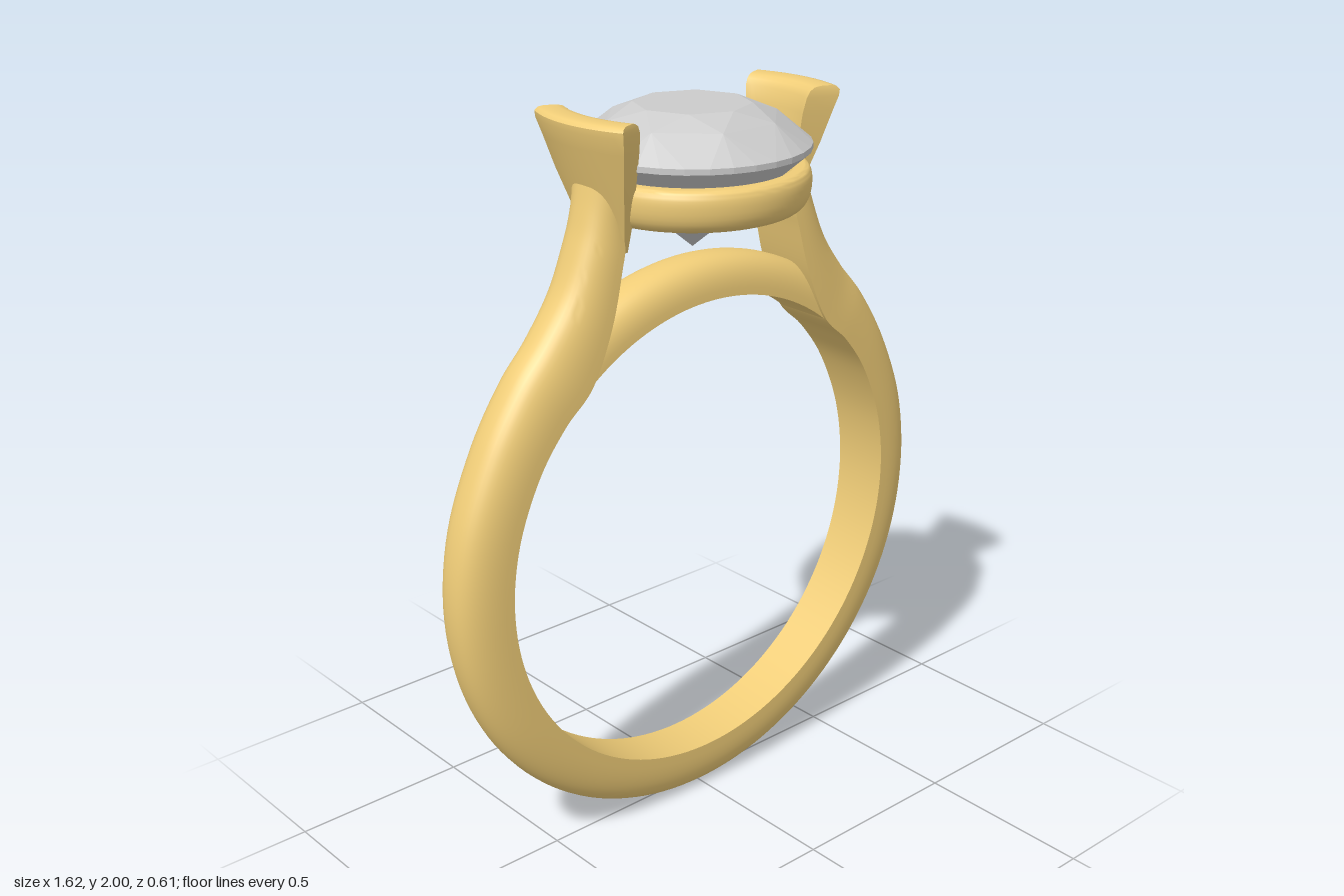
import * as THREE from 'three';
import { toCreasedNormals } from 'three/addons/utils/BufferGeometryUtils.js';
import { ConvexGeometry } from 'three/addons/geometries/ConvexGeometry.js';

const CY = 0.815;      // centre height of the finger hole
const R_IN = 0.668;    // finger hole radius
const R_OUT = 0.81;    // outer band radius
const rad = THREE.MathUtils.degToRad;
const polar = (r, deg) => new THREE.Vector3(r * Math.cos(rad(deg)), CY + r * Math.sin(rad(deg)), 0);

// Skin a list of closed cross-sections, each a loop of the same number of points
function loft(rings, crease = 0.7) {
  const n = rings[0].length;
  const index = [];
  for (let i = 0; i < rings.length - 1; i++) {
    for (let j = 0; j < n; j++) {
      const k = (j + 1) % n;
      const a = i * n + j, b = i * n + k, c = b + n, d = a + n;
      index.push(a, d, c, a, c, b);
    }
  }
  const geo = new THREE.BufferGeometry().setFromPoints(rings.flat());
  geo.setIndex(index);
  return toCreasedNormals(geo, crease);
}

// D-shaped section: flat towards the finger, domed outside
function dSection(inner, outer, w) {
  const pts = [];
  for (let j = 0; j <= 24; j++) {
    const t = Math.PI * (1 - j / 24);
    const c = Math.cos(t);
    const p = inner.clone().lerp(outer, Math.pow(Math.max(Math.sin(t), 0), 0.8));
    p.z = w * Math.sign(c) * Math.pow(Math.abs(c), 0.8);
    pts.push(p);
  }
  return pts;
}

// Band: circular below, leaving the circle to sweep up into the shoulders
function shankGeometry() {
  const half = [];
  for (let a = -90; a <= 15; a += 15) half.push([polar(R_IN, a), polar(R_OUT, a)]);
  const shoulder = [
    [0.579, 1.149, 0.70, 1.225], [0.496, 1.262, 0.605, 1.375], [0.41, 1.343, 0.522, 1.47],
    [0.345, 1.48, 0.445, 1.575], [0.305, 1.62, 0.395, 1.69], [0.292, 1.69, 0.37, 1.77],
    [0.315, 1.79, 0.348, 1.86],
  ];
  for (const [a, b, c, d] of shoulder) half.push([new THREE.Vector3(a, b, 0), new THREE.Vector3(c, d, 0)]);
  const flip = (p) => new THREE.Vector3(-p.x, p.y, 0);
  const all = [...half.slice(1).reverse().map((s) => s.map(flip)), ...half];
  const inner = new THREE.CatmullRomCurve3(all.map((s) => s[0]), false, 'catmullrom');
  const outer = new THREE.CatmullRomCurve3(all.map((s) => s[1]), false, 'catmullrom');
  const rings = [];
  for (let i = 0; i <= 168; i++) {
    const p = inner.getPoint(i / 168), q = outer.getPoint(i / 168);
    const w = 0.072 + 0.019 * Math.min(q.y / 1.4, 1) - 0.012 * THREE.MathUtils.smoothstep(q.y, 1.5, 1.86);
    rings.push(dSection(p, q, w));
  }
  return loft(rings);
}

// Bridge: thin arc closing the finger hole between the shoulders
function bridgeGeometry() {
  const rings = [];
  for (let a = 52; a <= 128; a += 2) rings.push(dSection(polar(R_IN, a), polar(0.773, a), 0.083));
  return loft(rings);
}

// Prong: curved claw that widens and leans outward, with a rounded top
function prongGeometry(spread) {
  const levels = [ // y, inner radius, outer radius, share of the spread
    [1.66, 0.28, 0.295, 0.55], [1.75, 0.283, 0.325, 0.72], [1.85, 0.298, 0.362, 0.87],
    [1.93, 0.304, 0.388, 0.96], [1.972, 0.313, 0.403, 1], [1.988, 0.322, 0.405, 1],
    [1.997, 0.335, 0.397, 0.99], [2.0, 0.352, 0.383, 0.985], [2.0, 0.368, 0.368, 0.98],
  ];
  const N = 14;
  return loft(levels.map(([y, ri, ro, s]) => {
    const arc = (r, dir) => Array.from({ length: N + 1 }, (_, j) => {
      const a = dir * rad(spread * s) * (2 * j / N - 1);
      return new THREE.Vector3(r * Math.cos(a), y, r * Math.sin(a));
    });
    return [...arc(ro, 1), ...arc(ri, -1)];
  }));
}

// Seat: rounded collar under the stone
function seatGeometry() {
  const s = new THREE.Shape();
  s.moveTo(0.205, 1.735);
  s.quadraticCurveTo(0.205, 1.718, 0.225, 1.718);
  s.lineTo(0.255, 1.718);
  s.quadraticCurveTo(0.305, 1.72, 0.306, 1.79);
  s.quadraticCurveTo(0.306, 1.828, 0.285, 1.83);
  s.lineTo(0.262, 1.83);
  s.lineTo(0.205, 1.765);
  s.lineTo(0.205, 1.735);
  return toCreasedNormals(new THREE.LatheGeometry(s.getPoints(8), 72), 0.6);
}

// Stone: round cut with an octagonal table, kite facets, girdle and pointed pavilion
function stoneGeometry() {
  const pts = [new THREE.Vector3(0, 1.61, 0)];
  const ring = (n, r, y, off) => {
    for (let i = 0; i < n; i++) {
      const a = (i + off) / n * Math.PI * 2;
      pts.push(new THREE.Vector3(r * Math.cos(a), y, r * Math.sin(a)));
    }
  };
  ring(8, 0.152, 1.985, 0);
  ring(8, 0.228, 1.952, 0.5);
  ring(32, 0.306, 1.887, 0);
  ring(32, 0.306, 1.872, 0);
  ring(8, 0.115, 1.707, 0.5);
  return new ConvexGeometry(pts);
}

export function createModel() {
  const model = new THREE.Group();
  model.name = 'ring';
  const gold = new THREE.MeshStandardMaterial({ color: 0xf0cd78 });
  const goldOpen = new THREE.MeshStandardMaterial({ color: 0xf0cd78, side: THREE.DoubleSide });
  const grey = new THREE.MeshStandardMaterial({ color: 0xcccccc, flatShading: true });
  const add = (name, geo, mat) => {
    const mesh = new THREE.Mesh(geo, mat);
    mesh.name = name;
    model.add(mesh);
    return mesh;
  };
  add('shank', shankGeometry(), gold);
  add('bridge', bridgeGeometry(), gold);
  add('seat', seatGeometry(), goldOpen);
  add('stone', stoneGeometry(), grey);
  add('leftProng', prongGeometry(21.5), gold);
  add('rightProng', prongGeometry(25), gold).rotation.y = Math.PI;
  return model;
}
